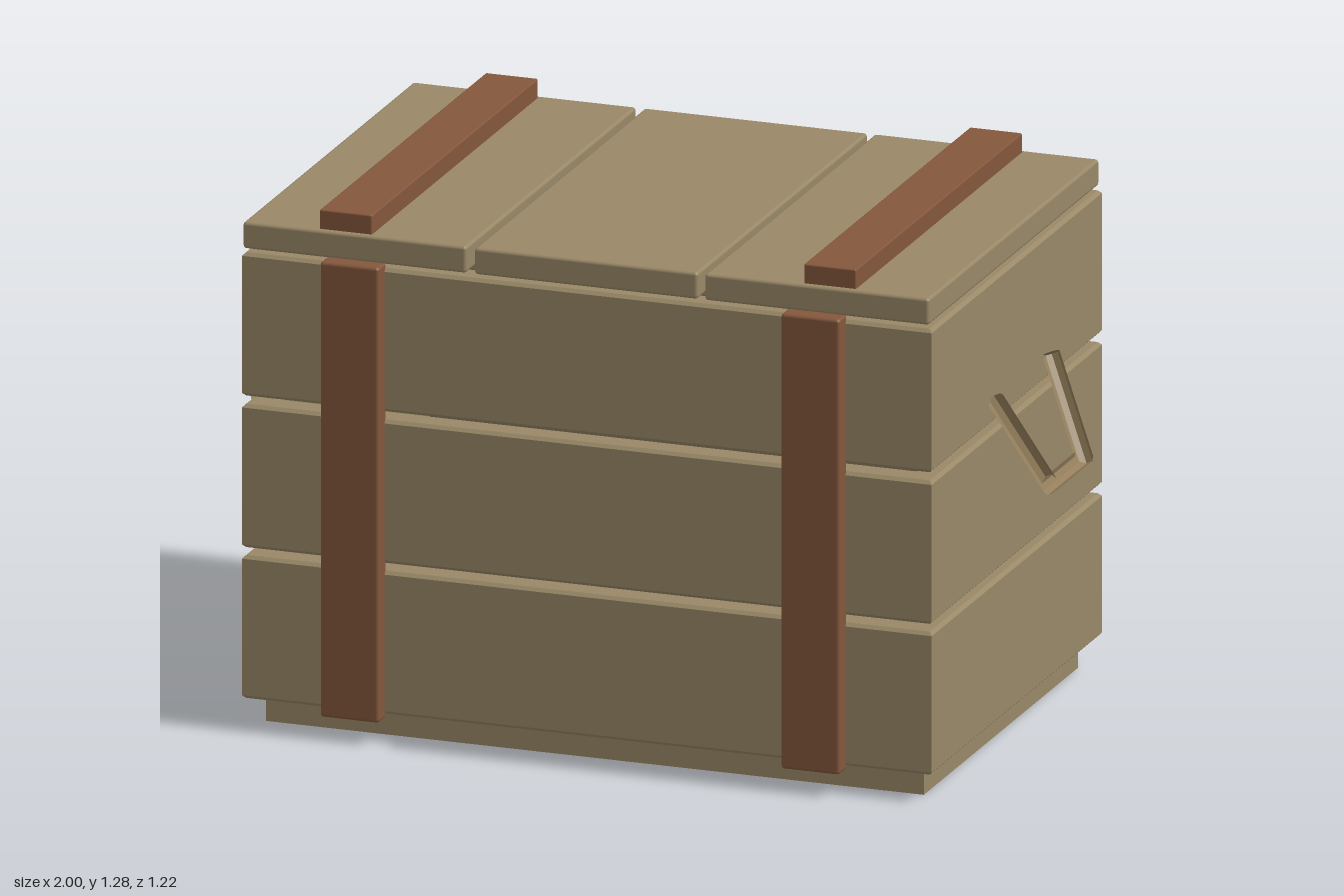
import * as THREE from 'three';
import { RoundedBoxGeometry } from 'three/addons/geometries/RoundedBoxGeometry.js';

const wood = new THREE.MeshStandardMaterial({ color: 0x998867 });
wood.name = 'wood';
const strapBrown = new THREE.MeshStandardMaterial({ color: 0x84573c });
strapBrown.name = 'strapBrown';
const handleTan = new THREE.MeshStandardMaterial({ color: 0x957f5c });
handleTan.name = 'handleTan';

// Softly rounded box given by its minimum and maximum corners
function block(name, material, [x0, y0, z0], [x1, y1, z1], r = 0.008) {
  const geo = new RoundedBoxGeometry(x1 - x0, y1 - y0, z1 - z0, 2, r);
  const mesh = new THREE.Mesh(geo, material);
  mesh.position.set((x0 + x1) / 2, (y0 + y1) / 2, (z0 + z1) / 2);
  mesh.name = name;
  return mesh;
}

function rectangle(PathType, hx, hz) {
  const p = new PathType();
  p.moveTo(-hx, -hz);
  p.lineTo(hx, -hz);
  p.lineTo(hx, hz);
  p.lineTo(-hx, hz);
  p.closePath();
  return p;
}

// Hollow ring of wall planks with bevelled top and bottom edges
function wallTier(y0, y1) {
  const bevel = 0.008, hx = 0.857, hz = 0.573, wall = 0.07;
  const shape = rectangle(THREE.Shape, hx - bevel, hz - bevel);
  shape.holes.push(rectangle(THREE.Path, hx - wall + bevel, hz - wall + bevel));
  const geo = new THREE.ExtrudeGeometry(shape, {
    depth: y1 - y0 - 2 * bevel, bevelSize: bevel, bevelThickness: bevel, bevelSegments: 1,
  });
  geo.translate(0, 0, bevel);
  geo.rotateX(-Math.PI / 2);
  geo.translate(0, y0, 0);
  const mesh = new THREE.Mesh(geo, wood);
  mesh.name = 'wallTier';
  return mesh;
}

// Mitred rod following a path of [y, z] points in the x = 0 plane
function rod(path, radius, sides) {
  const pts = path.map(([y, z]) => new THREE.Vector2(z, y));
  const pos = [], index = [];
  pts.forEach((p, i) => {
    const before = pts[Math.max(i - 1, 0)], after = pts[Math.min(i + 1, pts.length - 1)];
    const a = p.clone().sub(before).normalize(), b = after.clone().sub(p).normalize();
    const t = a.clone().add(b).normalize();
    const stretch = 1 / t.dot(i ? a : b);
    for (let k = 0; k < sides; k++) {
      const ang = ((k + 0.5) / sides) * Math.PI * 2;
      const s = Math.cos(ang) * radius * stretch;
      pos.push(Math.sin(ang) * radius, p.y + t.x * s, p.x - t.y * s);
    }
  });
  for (let i = 0; i < pts.length - 1; i++) {
    for (let k = 0; k < sides; k++) {
      const a = i * sides + k, b = i * sides + ((k + 1) % sides);
      index.push(a, b, a + sides, b, b + sides, a + sides);
    }
  }
  // End caps
  const last = (pts.length - 1) * sides;
  for (let k = 1; k < sides - 1; k++) {
    index.push(0, k + 1, k, last, last + k, last + k + 1);
  }
  const indexed = new THREE.BufferGeometry();
  indexed.setAttribute('position', new THREE.Float32BufferAttribute(pos, 3));
  indexed.setIndex(index);
  const geo = indexed.toNonIndexed();
  geo.computeVertexNormals();
  return geo;
}

export function createModel() {
  const crate = new THREE.Group();
  crate.name = 'crate';

  // Base slab
  const base = new THREE.Mesh(new THREE.BoxGeometry(1.634, 0.075, 1.036), wood);
  base.position.y = 0.0375;
  base.name = 'base';
  crate.add(base);

  // Three tiers of wall planks with open gaps between
  for (const [y0, y1] of [[0.067, 0.417], [0.436, 0.787], [0.807, 1.158]]) {
    crate.add(wallTier(y0, y1));
  }

  // Lid planks
  for (const [x0, x1] of [[-0.855, -0.3], [-0.28, 0.275], [0.292, 0.85]]) {
    crate.add(block('lidPlank', wood, [x0, 1.168, -0.573], [x1, 1.233, 0.573]));
  }

  // Upright straps front and back, and cross straps on the lid
  for (const x of [-0.576, 0.569]) {
    crate.add(block('frontStrap', strapBrown, [x - 0.073, 0.056, 0.56], [x + 0.073, 1.17, 0.612]));
    crate.add(block('backStrap', strapBrown, [x - 0.073, 0.056, -0.612], [x + 0.073, 1.17, -0.56]));
  }
  for (const x of [-0.604, 0.599]) {
    crate.add(block('lidStrap', strapBrown, [x - 0.065, 1.225, -0.559], [x + 0.065, 1.28, 0.559], 0.004));
  }

  // Drooping handles on both ends
  const handleGeo = rod([[0, 0.188], [-0.245, 0.115], [-0.245, -0.115], [0, -0.188]], 0.021, 8);
  for (const side of [0, Math.PI]) {
    const handle = new THREE.Group();
    handle.name = side ? 'rightHandle' : 'leftHandle';
    const bar = new THREE.Mesh(handleGeo, handleTan);
    bar.name = 'handleBar';
    bar.position.set(0.872, 0.876, 0);
    bar.rotation.z = 0.46;
    handle.add(bar);
    handle.rotation.y = side;
    crate.add(handle);
  }
  return crate;
}
